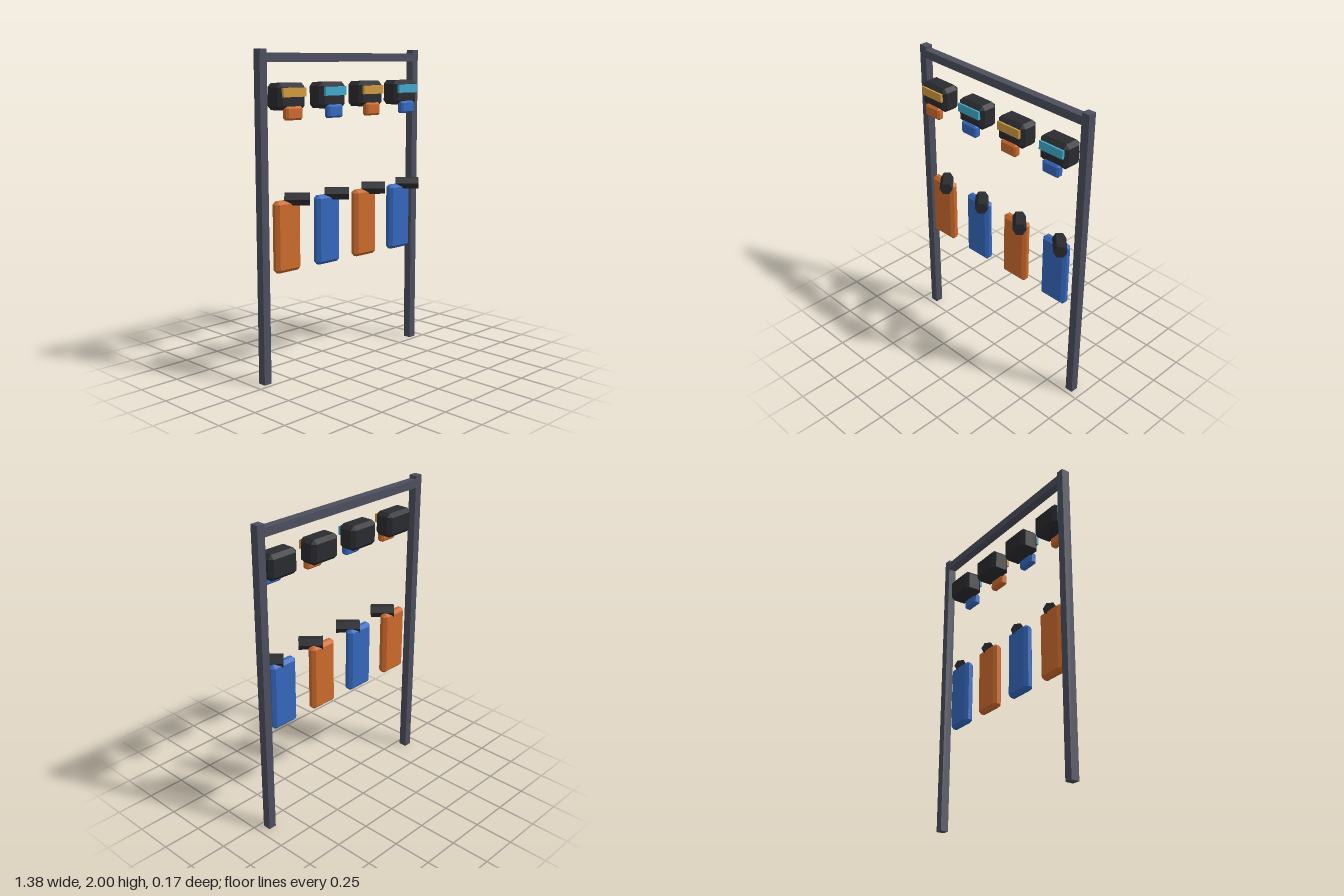
import * as THREE from 'three';
import { ConvexGeometry } from 'three/addons/geometries/ConvexGeometry.js';

const flat = (name, color) => {
  const m = new THREE.MeshStandardMaterial({ color, flatShading: true });
  m.name = name;
  return m;
};

// Box with every edge cut off by c
function chamferBox(w, h, d, c) {
  const [x, y, z] = [w / 2, h / 2, d / 2];
  const points = [];
  for (const sx of [-1, 1]) for (const sy of [-1, 1]) for (const sz of [-1, 1]) {
    points.push(
      new THREE.Vector3(sx * x, sy * (y - c), sz * (z - c)),
      new THREE.Vector3(sx * (x - c), sy * y, sz * (z - c)),
      new THREE.Vector3(sx * (x - c), sy * (y - c), sz * z));
  }
  return new ConvexGeometry(points);
}

export function createModel() {
  const frame = flat('frame grey', 0x4c4f5e);
  const dark = flat('dark rubber', 0x2a2b30);
  const orange = flat('orange', 0xcc6a2c);
  const blue = flat('blue', 0x3568be);
  const gold = flat('gold visor', 0xd09a40);
  const cyan = flat('cyan visor', 0x42a9cc);

  const model = new THREE.Group();
  model.name = 'equipmentRack';
  const add = (parent, name, geometry, material, x, y, z) => {
    const mesh = new THREE.Mesh(geometry, material);
    mesh.name = name;
    mesh.position.set(x, y, z);
    parent.add(mesh);
  };

  // Frame: two posts and a top rail
  const postGeo = new THREE.BoxGeometry(0.053, 2, 0.053);
  add(model, 'rightPost', postGeo, frame, -0.666, 1, -0.055);
  add(model, 'leftPost', postGeo, frame, 0.666, 1, -0.055);
  add(model, 'topRail', new THREE.BoxGeometry(1.28, 0.053, 0.053), frame, 0, 1.95, -0.055);

  // Shared shapes for the hanging gear
  const helmetGeo = chamferBox(0.216, 0.157, 0.13, 0.024);
  const visorGeo = new THREE.BoxGeometry(0.176, 0.054, 0.022);
  const filterGeo = chamferBox(0.127, 0.08, 0.05, 0.012);
  const tankGeo = chamferBox(0.196, 0.436, 0.063, 0.02);
  // Six-sided nozzle, flats up and down, turned outwards by 45 degrees
  const nozzleGeo = new THREE.CylinderGeometry(0.0425, 0.0425, 0.151, 6)
    .rotateY(Math.PI / 6).rotateX(Math.PI / 2).rotateY(Math.PI / 4);

  // Four sets in alternating colours
  for (let i = 0; i < 4; i++) {
    const set = new THREE.Group();
    set.name = `gearSet${i + 1}`;
    set.position.x = (i - 1.5) * 0.334;
    const body = i % 2 ? blue : orange;
    add(set, 'helmet', helmetGeo, dark, 0, 1.725, -0.021);
    add(set, 'visor', visorGeo, i % 2 ? cyan : gold, 0, 1.75, 0.046);
    add(set, 'breathingFilter', filterGeo, body, 0, 1.629, 0.035);
    add(set, 'tank', tankGeo, body, 0, 0.892, -0.0315);
    add(set, 'nozzle', nozzleGeo, dark, 0.056, 1.114, 0.004);
    model.add(set);
  }
  return model;
}
